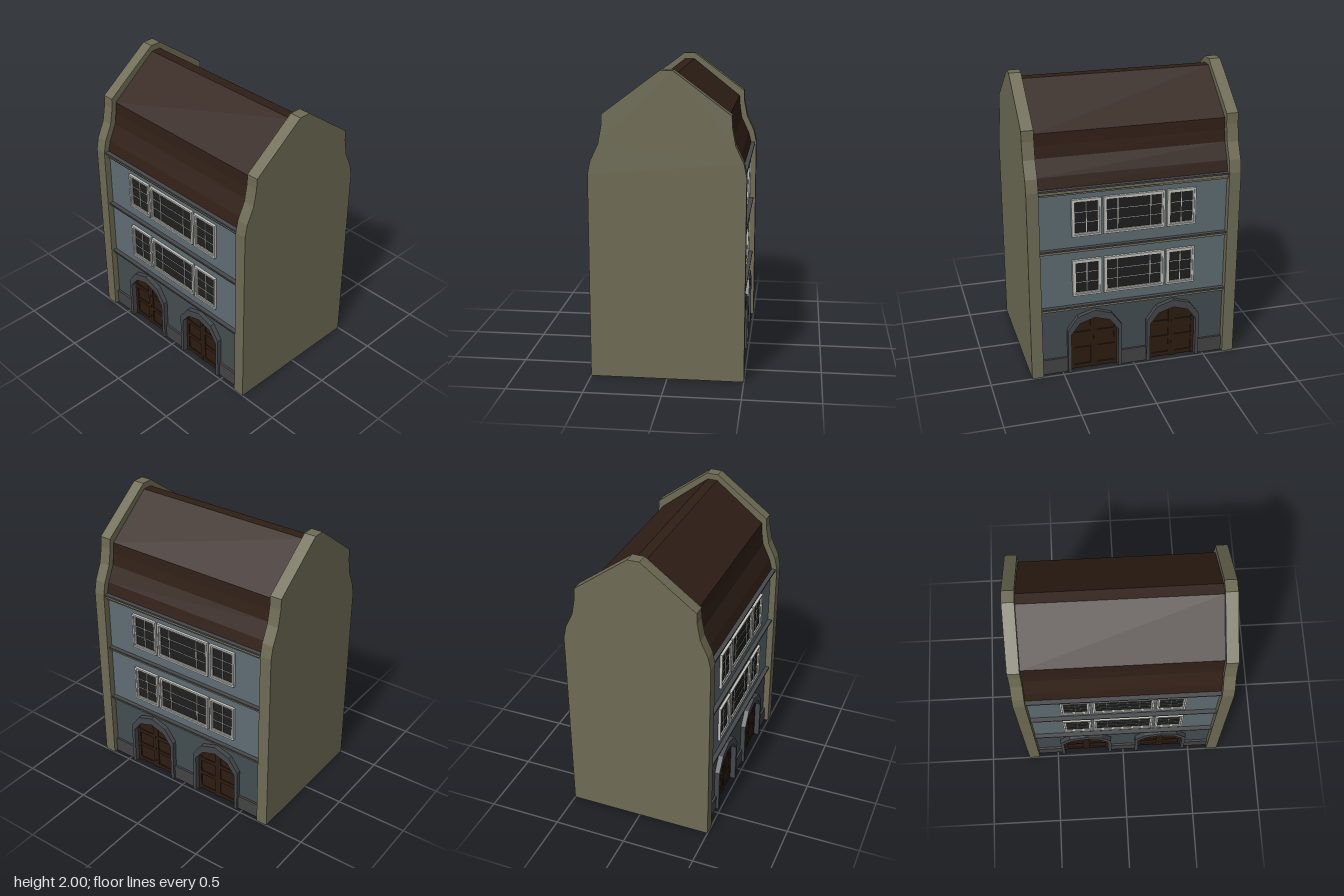
import * as THREE from 'three';

const mat = (color) => new THREE.MeshStandardMaterial({ color, flatShading: true });
const M = {
  stone: mat(0x6e6b54), wall: mat(0x5f6d73), ground: mat(0x434d50), plinth: mat(0x444444),
  arch: mat(0x44474a), door: mat(0x2d1c11), doorRail: mat(0x24160d), roof: mat(0x301f16),
  trim: mat(0x47484b), glass: mat(0x1f1f1f), frame: mat(0xc4c4be), base: mat(0x2b2b2b),
};

function add(parent, name, geometry, material) {
  const mesh = new THREE.Mesh(geometry, material);
  mesh.name = name;
  parent.add(mesh);
  return mesh;
}

// Box given by its limits on each axis
function box(parent, name, x0, x1, y0, y1, z0, z1, material) {
  const mesh = add(parent, name, new THREE.BoxGeometry(x1 - x0, y1 - y0, z1 - z0), material);
  mesh.position.set((x0 + x1) / 2, (y0 + y1) / 2, (z0 + z1) / 2);
  return mesh;
}

const points = (pts) => pts.map(([x, y]) => new THREE.Vector2(x, y));

// Closed outline from its right half, listed from bottom to top
function mirrored(half, cx = 0) {
  const right = half.map(([x, y]) => [cx + x, y]);
  const left = half.filter(([x]) => x > 0).map(([x, y]) => [cx - x, y]).reverse();
  return points([...right, ...left]);
}

function extrude(outline, depth, holes = []) {
  const shape = new THREE.Shape(outline);
  holes.forEach((h) => shape.holes.push(new THREE.Path(h)));
  return new THREE.ExtrudeGeometry(shape, { depth, bevelEnabled: false });
}

// Extrusion of a (z, y) profile along x, starting at x0
function alongX(half, x0, x1) {
  return extrude(mirrored(half), x1 - x0).rotateY(Math.PI / 2).translate(x0, 0, 0);
}

const rect = (x0, x1, y0, y1) => points([[x0, y0], [x1, y0], [x1, y1], [x0, y1]]);

const W = 0.64;        // half width between the gables
const CORE = 0.435;    // front of the solid core
const FACE = 0.455;    // front of the facade
const DOOR_X = 0.277;
const OUTER = [[0.188, 0], [0.188, 0.32], [0.118, 0.417], [0, 0.455]];
const INNER = [[0.164, 0], [0.164, 0.288], [0.103, 0.368], [0, 0.4]];

function makeWindow(x0, x1, y0, y1, mullions) {
  const g = new THREE.Group();
  g.name = 'window';
  const b = 0.012, c = 0.022;
  const outer = extrude(rect(x0, x1, y0, y1), 0.018, [rect(x0 + b, x1 - b, y0 + b, y1 - b)]);
  add(g, 'windowSurround', outer, M.frame).position.z = FACE;
  const inner = extrude(rect(x0 + b, x1 - b, y0 + b, y1 - b), 0.011, [rect(x0 + c, x1 - c, y0 + c, y1 - c)]);
  add(g, 'windowSash', inner, M.frame).position.z = FACE;
  box(g, 'glass', x0 + b, x1 - b, y0 + b, y1 - b, FACE - 0.01, FACE + 0.003, M.glass);
  mullions.forEach((x) =>
    box(g, 'mullion', x - 0.0025, x + 0.0025, y0 + c, y1 - c, FACE, FACE + 0.008, M.frame));
  for (const t of [1 / 3, 2 / 3]) {
    const y = y0 + c + (y1 - y0 - 2 * c) * t;
    box(g, 'glazingBar', x0 + c, x1 - c, y - 0.0015, y + 0.0015, FACE, FACE + 0.006, M.frame);
  }
  return g;
}

function makeDoor(cx) {
  const g = new THREE.Group();
  g.name = 'door';
  add(g, 'doorLeaf', extrude(mirrored(INNER, cx), 0.008), M.door).position.z = CORE;
  // Arched surround, open at the foot
  const ring = [
    ...OUTER.map(([x, y]) => [cx + x, y]),
    ...OUTER.slice(0, 3).reverse().map(([x, y]) => [cx - x, y]),
    ...INNER.slice(0, 3).map(([x, y]) => [cx - x, y]),
    ...INNER.slice().reverse().map(([x, y]) => [cx + x, y]),
  ];
  add(g, 'doorSurround', extrude(points(ring), 0.488 - CORE), M.arch).position.z = CORE;
  // Stiles and rails of the two leaves
  const z0 = CORE + 0.006, z1 = CORE + 0.016;
  for (const x of [-0.153, -0.012, 0.012, 0.153])
    box(g, 'doorStile', cx + x - 0.011, cx + x + 0.011, 0, Math.abs(x) > 0.1 ? 0.295 : 0.39, z0, z1, M.door);
  for (const y of [0.02, 0.15, 0.27])
    box(g, 'doorRail', cx - 0.16, cx + 0.16, y - 0.014, y + 0.014, z0, z1 - 0.001, M.door);
  box(g, 'doorGap', cx - 0.0015, cx + 0.0015, 0, 0.39, z0, z1 + 0.001, M.doorRail);
  return g;
}

function makeFacade() {
  const f = new THREE.Group();
  f.name = 'facade';
  // Ground floor wall with two arched openings, and its plinth
  const cuts = [[-W, 0]];
  for (const s of [-1, 1])
    cuts.push(...mirrored(INNER, s * DOOR_X).reverse().map((p) => [p.x, p.y]));
  cuts.push([W, 0], [W, 0.48], [-W, 0.48]);
  add(f, 'groundFloorWall', extrude(points(cuts), FACE - CORE), M.ground).position.z = CORE;
  const e = DOOR_X + 0.188, i = DOOR_X - 0.188;
  for (const [a, b] of [[-W, -e], [-i, i], [e, W]])
    box(f, 'plinth', a, b, 0, 0.11, CORE, 0.47, M.plinth);
  for (const s of [-1, 1]) f.add(makeDoor(s * DOOR_X));

  // Upper floors with three windows each
  box(f, 'upperWall', -W, W, 0.48, 1.33, CORE, FACE, M.wall);
  for (const y of [0.57, 1.0]) {
    for (const s of [-1, 1]) {
      const c = s * 0.323;
      f.add(makeWindow(c - 0.099, c + 0.099, y, y + 0.26, [c]));
    }
    f.add(makeWindow(-0.208, 0.208, y, y + 0.26, [-0.112, 0.112]));
  }

  // String courses and eaves cornice
  for (const y of [0.47, 0.89]) {
    box(f, 'stringCourse', -W, W, y, y + 0.02, CORE, 0.472, M.stone);
    box(f, 'stringCap', -W, W, y + 0.02, y + 0.031, CORE, 0.485, M.trim);
  }
  box(f, 'corniceLower', -W, W, 1.298, 1.31, CORE, 0.47, M.stone);
  box(f, 'corniceFillet', -W, W, 1.31, 1.317, CORE, 0.478, M.trim);
  box(f, 'corniceUpper', -W, W, 1.317, 1.334, CORE, 0.482, M.stone);
  box(f, 'gutter', -W, W, 1.334, 1.345, CORE, 0.492, M.trim);
  return f;
}

export function createModel() {
  const model = new THREE.Group();
  model.name = 'townHouse';

  box(model, 'core', -W, W, 0.002, 1.34, -CORE, CORE, M.base);
  const front = makeFacade();
  const back = makeFacade();
  back.rotation.y = Math.PI;
  model.add(front, back);

  // Curved roof between the gables
  const roof = [[0.462, 1.335], [0.462, 1.345], [0.442, 1.42], [0.39, 1.53], [0.378, 1.61], [0.372, 1.69], [0.035, 1.957]];
  add(model, 'roof', alongX(roof, -W, W), M.roof);

  // Side walls rising into shaped gables
  const gable = [[0.5, 0], [0.5, 1.345], [0.482, 1.43], [0.43, 1.54], [0.408, 1.655], [0.405, 1.727], [0.04, 2]];
  add(model, 'leftGable', alongX(gable, W, 0.72), M.stone);
  add(model, 'rightGable', alongX(gable, -0.72, -W), M.stone);
  return model;
}
